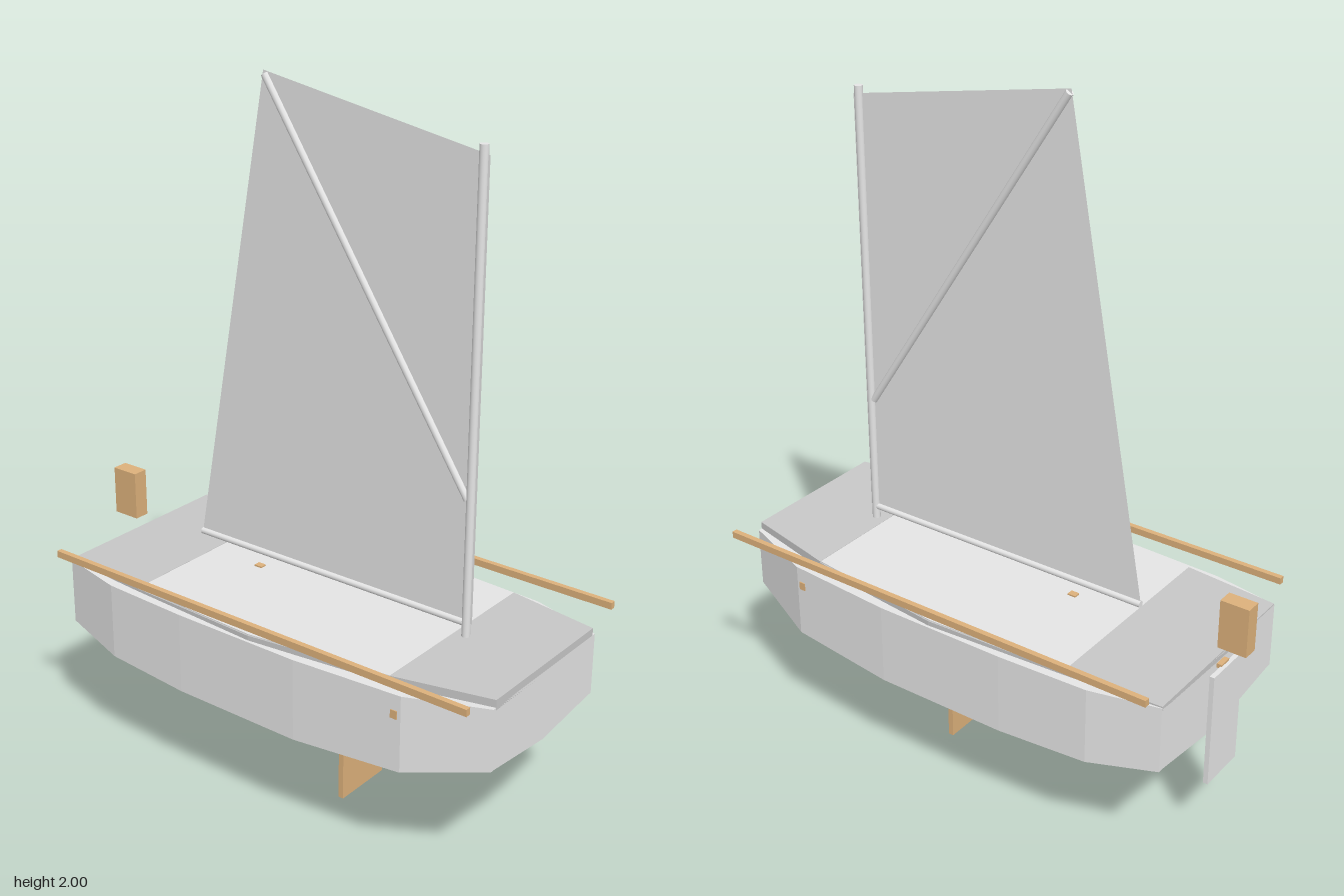
import * as THREE from 'three';

const mat = (name, color, options = {}) => {
  const m = new THREE.MeshStandardMaterial({ color, flatShading: true, ...options });
  m.name = name;
  return m;
};

// Closed skin through [x, section] stations; each section runs counterclockwise seen from +x.
function loft(stations) {
  const pos = [];
  const at = (i, j) => {
    const [x, sec] = stations[i];
    const [z, y] = sec[j % sec.length];
    return [x, y, z];
  };
  const tri = (...pts) => pts.forEach((p) => pos.push(...p));
  const n = stations[0][1].length, last = stations.length - 1;
  const mid = (i) => {
    const ys = stations[i][1].map((p) => p[1]);
    return [stations[i][0], (Math.min(...ys) + Math.max(...ys)) / 2, 0];
  };
  for (let j = 0; j < n; j++) {
    for (let i = 0; i < last; i++) {
      const a = at(i, j), b = at(i, j + 1), c = at(i + 1, j + 1), d = at(i + 1, j);
      tri(a, b, c);
      tri(a, c, d);
    }
    tri(mid(last), at(last, j), at(last, j + 1));
    tri(mid(0), at(0, j + 1), at(0, j));
  }
  const g = new THREE.BufferGeometry();
  g.setAttribute('position', new THREE.Float32BufferAttribute(pos, 3));
  g.computeVertexNormals();
  return g;
}

export function createModel() {
  const white = mat('hull white', 0xe6e6e6);
  const sailCloth = mat('sail and spar white', 0xe6e6e6, { side: THREE.DoubleSide, flatShading: false });
  const deckGrey = mat('deck grey', 0xc8c8c8);
  const wood = mat('wood', 0xdeb27c);

  const group = new THREE.Group();
  const add = (name, geo, material) => {
    const m = new THREE.Mesh(geo, material);
    m.name = name;
    group.add(m);
    return m;
  };
  // Box given by its extents
  const box = (name, material, x0, x1, y0, y1, z0, z1) =>
    add(name, new THREE.BoxGeometry(x1 - x0, y1 - y0, z1 - z0), material)
      .position.set((x0 + x1) / 2, (y0 + y1) / 2, (z0 + z1) / 2);

  // Hull with a groove inside each side runner:
  // x, half width, sheer y, side bottom y, runner width, groove edge, groove top y, bottom edge y, keel y
  const hull = [
    [-0.67, 0.295, 0.574, 0.375, 0.0, 0.02, 0.375, 0.375, 0.34],
    [-0.47, 0.337, 0.57, 0.343, 0.04, 0.08, 0.41, 0.36, 0.337],
    [-0.2, 0.348, 0.57, 0.331, 0.055, 0.095, 0.41, 0.355, 0.335],
    [0.2, 0.348, 0.57, 0.33, 0.055, 0.095, 0.41, 0.355, 0.335],
    [0.53, 0.326, 0.572, 0.35, 0.04, 0.08, 0.42, 0.37, 0.35],
    [0.752, 0.247, 0.58, 0.4, 0.0, 0.015, 0.4, 0.4, 0.375],
  ].map(([x, w, ys, yb, run, edge, yg, yc, yk]) => {
    const half = [[w, ys], [w, yb], [w - run, yb], [w - run, yg], [w - edge, yg], [w - edge, yc]];
    const other = half.map(([z, y]) => [-z, y]).reverse();
    return [x, [...half, [0, yk], ...other]];
  });
  add('hull', loft(hull), white);

  // Decks: x, half width, top y
  const deck = [
    [-0.67, 0.293, 0.578],
    [-0.385, 0.315, 0.582],
    [0.04, 0.34, 0.588],
    [0.47, 0.292, 0.595],
    [0.752, 0.235, 0.602],
  ];
  const slab = (from, to, drop, thick, inset = 0) => loft(deck.slice(from, to + 1).map(([x, w, y]) => {
    const h = w - inset, t = y - drop, b = t - thick;
    return [x, [[h, t], [h, b], [-h, b], [-h, t]]];
  }));
  add('aftDeck', slab(0, 1, 0, 0.03), deckGrey);
  add('foreDeck', slab(3, 4, 0, 0.03), deckGrey);
  add('midDeck', slab(1, 3, 0.001, 0.004, 0.003), white);
  add('midDeckTrim', slab(1, 3, 0.004, 0.026), deckGrey);

  // Side rails
  for (const s of [1, -1]) {
    add(s > 0 ? 'frontRail' : 'backRail', new THREE.BoxGeometry(1.405, 0.02, 0.016), wood)
      .position.set(0.043, 0.62, s * 0.351);
  }

  // Wooden fittings, centreboard and steering gear
  box('bowCrossPeg', wood, 0.5, 0.52, 0.503, 0.527, -0.33, 0.33);
  box('deckPeg', wood, -0.215, -0.19, 0.56, 0.588, -0.01, 0.01);
  box('centreboard', wood, 0.158, 0.174, 0, 0.36, -0.093, 0.093);
  box('tiller', wood, -0.755, -0.67, 0.608, 0.753, -0.023, 0.023);
  box('rudder', white, -0.695, -0.681, 0.205, 0.55, -0.075, 0.075);
  box('rudderMount', wood, -0.685, -0.667, 0.543, 0.556, -0.02, 0.02);

  // Mast, boom and diagonal sprit
  const spar = (name, a, b, r, sides) => {
    const p = new THREE.Vector3(...a), q = new THREE.Vector3(...b);
    const m = add(name, new THREE.CylinderGeometry(r, r, p.distanceTo(q), sides), sailCloth);
    m.position.copy(p).lerp(q, 0.5);
    m.quaternion.setFromUnitVectors(new THREE.Vector3(0, 1, 0), q.sub(p).normalize());
  };
  spar('mast', [0.505, 0.58, 0], [0.505, 1.9, 0], 0.012, 16);
  spar('boom', [-0.42, 0.634, 0], [0.505, 0.634, 0], 0.01, 10);
  spar('sprit', [0.495, 0.985, 0], [-0.165, 1.99, 0], 0.011, 10);

  // Sail between the mast and the raked trailing edge
  const sail = new THREE.Shape([
    [0.523, 0.635], [0.523, 1.875], [-0.17, 2.0], [-0.42, 0.635],
  ].map((p) => new THREE.Vector2(...p)));
  add('sail', new THREE.ShapeGeometry(sail), sailCloth);
  return group;
}
